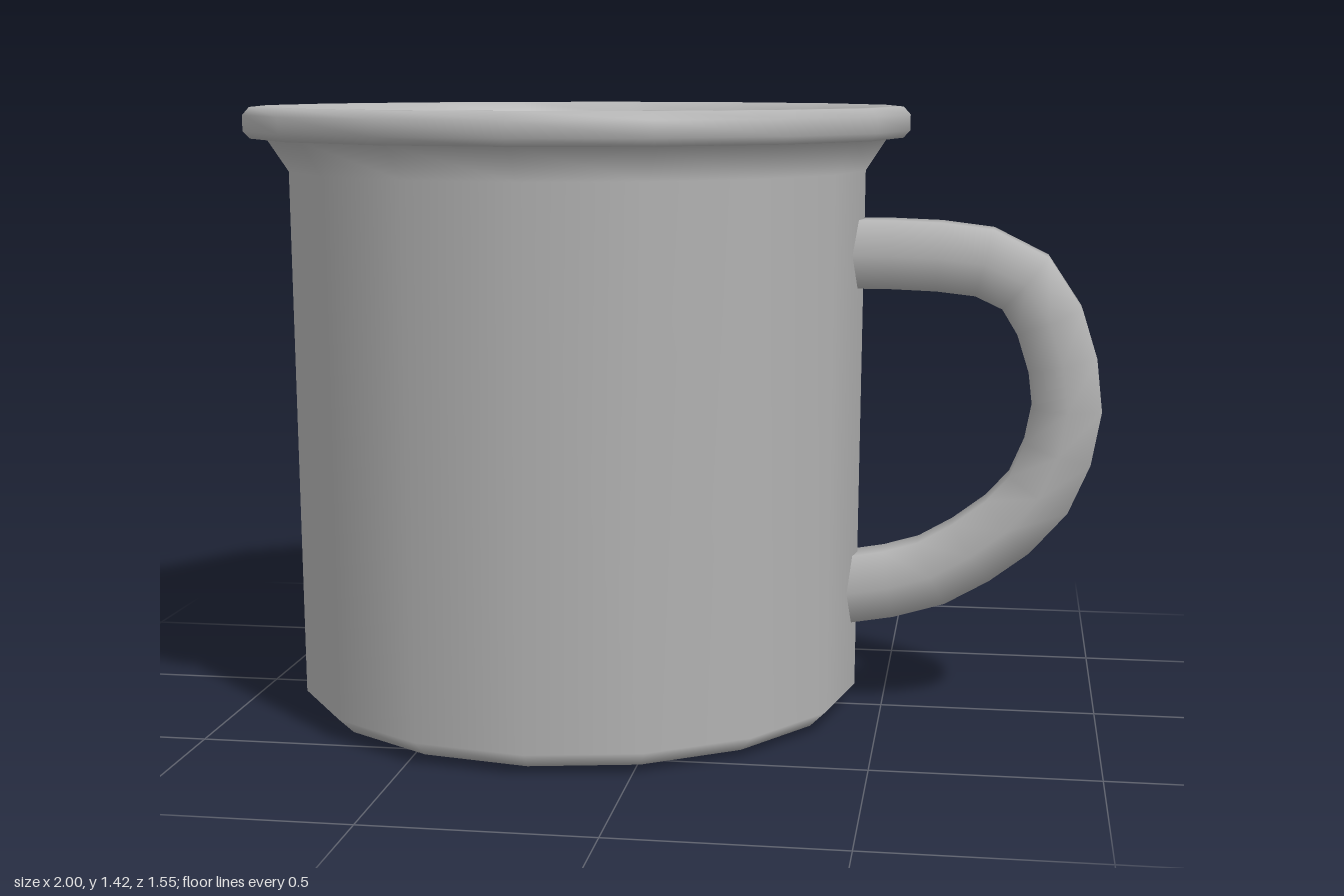
import * as THREE from 'three';

const SIDES = 16;
const CENTRE_X = -0.226;

const v2 = (pairs) => pairs.map(([r, y]) => new THREE.Vector2(r, y));

export function createModel() {
  const model = new THREE.Group();
  model.name = 'mug';
  const enamel = new THREE.MeshStandardMaterial({ color: 0xb4b4b4 });
  enamel.name = 'grey enamel';

  const add = (name, geometry, x = 0, y = 0) => {
    const mesh = new THREE.Mesh(geometry, enamel);
    mesh.name = name;
    mesh.position.set(x, y, 0);
    model.add(mesh);
    return mesh;
  };

  // Outer wall: slightly domed base, bevelled foot, flare, then rolled rim and inner wall
  add('body', new THREE.LatheGeometry(v2([
    [0, 0], [0.625, 0.014], [0.662, 0.05], [0.673, 1.27], [0.722, 1.345],
    [0.758, 1.345], [0.774, 1.362], [0.774, 1.398], [0.758, 1.416],
    [0.722, 1.416], [0.69, 1.385], [0.632, 1.26], [0.623, 0.05],
  ]), SIDES), CENTRE_X);

  // Flat inside floor
  const floor = new THREE.CircleGeometry(0.623, SIDES);
  floor.rotateX(-Math.PI / 2);
  add('insideFloor', floor, CENTRE_X, 0.05);

  // Six-sided handle, a little wider than it is thick and tapering downwards
  const path = new THREE.CatmullRomCurve3([
    [0.41, 1.08], [0.6, 1.077], [0.735, 1.06], [0.825, 1.01], [0.885, 0.9],
    [0.917, 0.74], [0.9, 0.63], [0.845, 0.51], [0.73, 0.405], [0.59, 0.325],
    [0.41, 0.287],
  ].map(([x, y]) => new THREE.Vector3(x, y, 0)));
  const handle = new THREE.TubeGeometry(path, 14, 0.091, 6, false);
  const pos = handle.attributes.position;
  for (let i = 0; i < pos.count; i++) {
    pos.setZ(i, pos.getZ(i) * (0.93 + 0.15 * pos.getY(i)));
  }
  add('handle', handle);

  return model;
}
